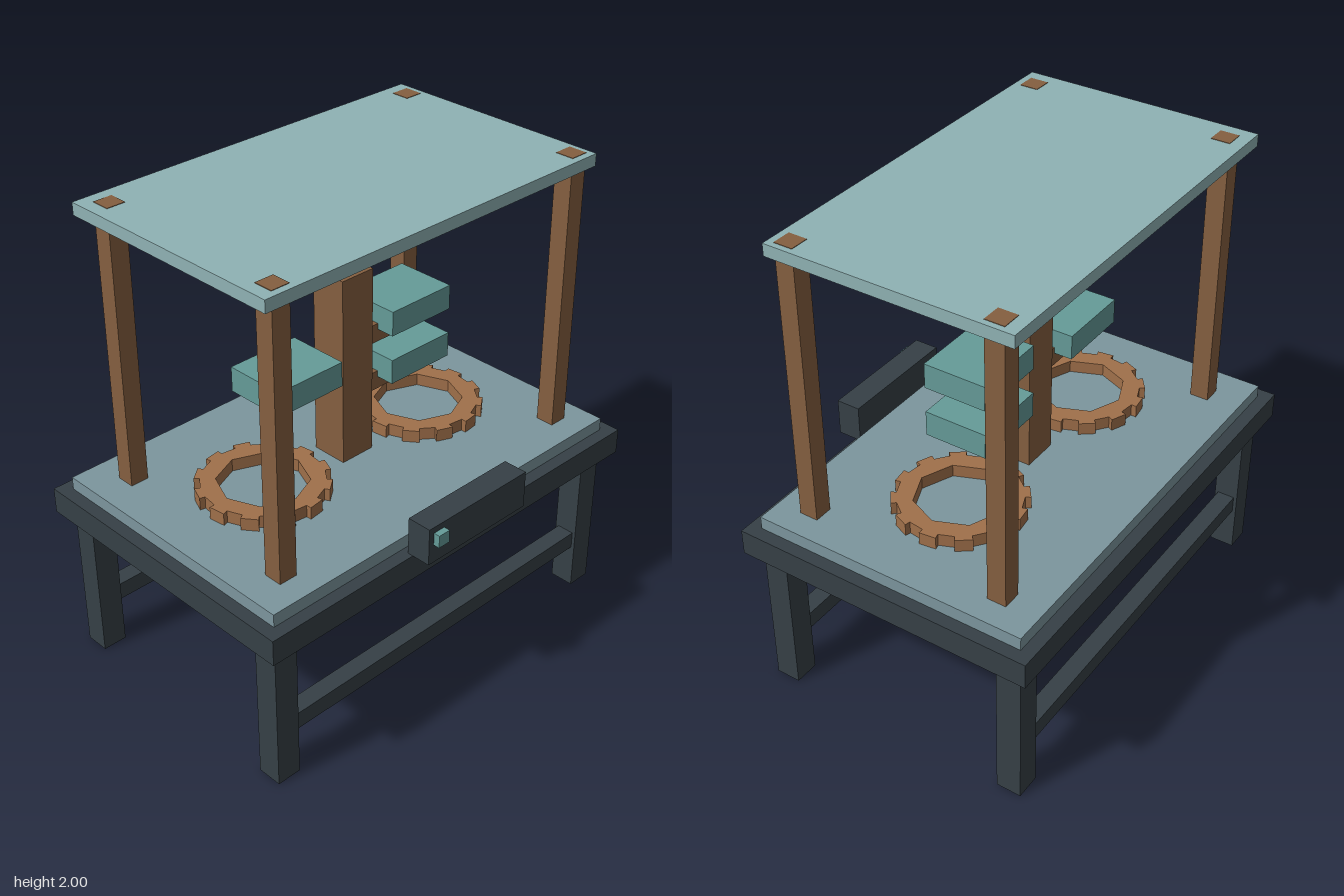
import * as THREE from 'three';

const mat = (color) => new THREE.MeshStandardMaterial({ color, flatShading: true });

export function createModel() {
  const model = new THREE.Group();
  const dark = mat(0x364046), wood = mat(0x855f40), plate = mat(0x7c969e);
  const roofMat = mat(0x8fb2b4), teal = mat(0x659b98), gearMat = mat(0xa0704a);
  const midZ = -0.053;

  // Box given by its minimum and maximum on each axis
  function box(name, material, [x0, x1], [y0, y1], [z0, z1]) {
    const mesh = new THREE.Mesh(new THREE.BoxGeometry(x1 - x0, y1 - y0, z1 - z0), material);
    mesh.position.set((x0 + x1) / 2, (y0 + y1) / 2, (z0 + z1) / 2);
    mesh.name = name;
    model.add(mesh);
    return mesh;
  }

  // Table: top, inset plate, legs and the two long rails
  box('tableTop', dark, [-0.97, 0.97], [0.65, 0.76], [-0.7, 0.595]);
  box('basePlate', plate, [-0.915, 0.915], [0.76, 0.815], [-0.645, 0.54]);
  for (const z of [midZ - 0.54, midZ + 0.54]) {
    for (const x of [-0.863, 0.863]) {
      box('tableLeg', dark, [x - 0.053, x + 0.053], [0, 0.65], [z - 0.053, z + 0.053]);
    }
    box('tableRail', dark, [-0.81, 0.81], [0.195, 0.27], [z - 0.038, z + 0.038]);
  }

  // Canopy: posts reach just through the roof
  box('roof', roofMat, [-0.838, 0.834], [1.947, 1.998], [-0.565, 0.46]);
  for (const x of [-0.744, 0.77]) {
    for (const z of [-0.472, 0.39]) {
      box('roofPost', wood, [x - 0.04, x + 0.04], [0.815, 2], [z - 0.04, z + 0.04]);
    }
  }

  // Central column with arms carrying blocks
  box('column', wood, [-0.08, 0.08], [0.815, 1.625], [-0.133, 0.027]);
  for (const [side, y] of [[1, 1.06], [-1, 1.165], [1, 1.275]]) {
    const span = (a, b) => (side > 0 ? [a, b] : [-b, -a]);
    box('arm', wood, span(0.08, 0.325), [y, y + 0.08], [-0.107, 0]);
    box('block', teal, span(0.136, 0.459), [y + 0.054, y + 0.16], [-0.186, 0.081]);
  }

  // Toothed ring with an octagonal hole, lying on the plate
  function gearGeometry(teeth, outer, root, hole) {
    const at = (r, a) => new THREE.Vector2(r * Math.cos(a), r * Math.sin(a));
    const step = (Math.PI * 2) / teeth, points = [];
    for (let i = 0; i < teeth; i++) {
      const a = i * step;
      points.push(at(outer, a), at(outer, a + step * 0.5), at(root, a + step * 0.5), at(root, a + step));
    }
    const shape = new THREE.Shape(points);
    const inner = [];
    for (let i = 0; i < 8; i++) inner.push(at(hole, (-i * Math.PI) / 4));
    shape.holes.push(new THREE.Path(inner));
    const geometry = new THREE.ExtrudeGeometry(shape, { depth: 0.053, bevelEnabled: false });
    return geometry.rotateX(-Math.PI / 2);
  }
  const gear = gearGeometry(12, 0.27, 0.247, 0.185);
  for (const x of [-0.434, 0.434]) {
    const mesh = new THREE.Mesh(gear, gearMat);
    mesh.name = 'gearRing';
    mesh.position.set(x, 0.815, midZ);
    model.add(mesh);
  }

  // Control box and its button on the front edge
  box('controlBox', dark, [-0.27, 0.268], [0.76, 0.92], [0.57, 0.675]);
  box('button', teal, [-0.245, -0.19], [0.84, 0.894], [0.665, 0.702]);

  return model;
}
